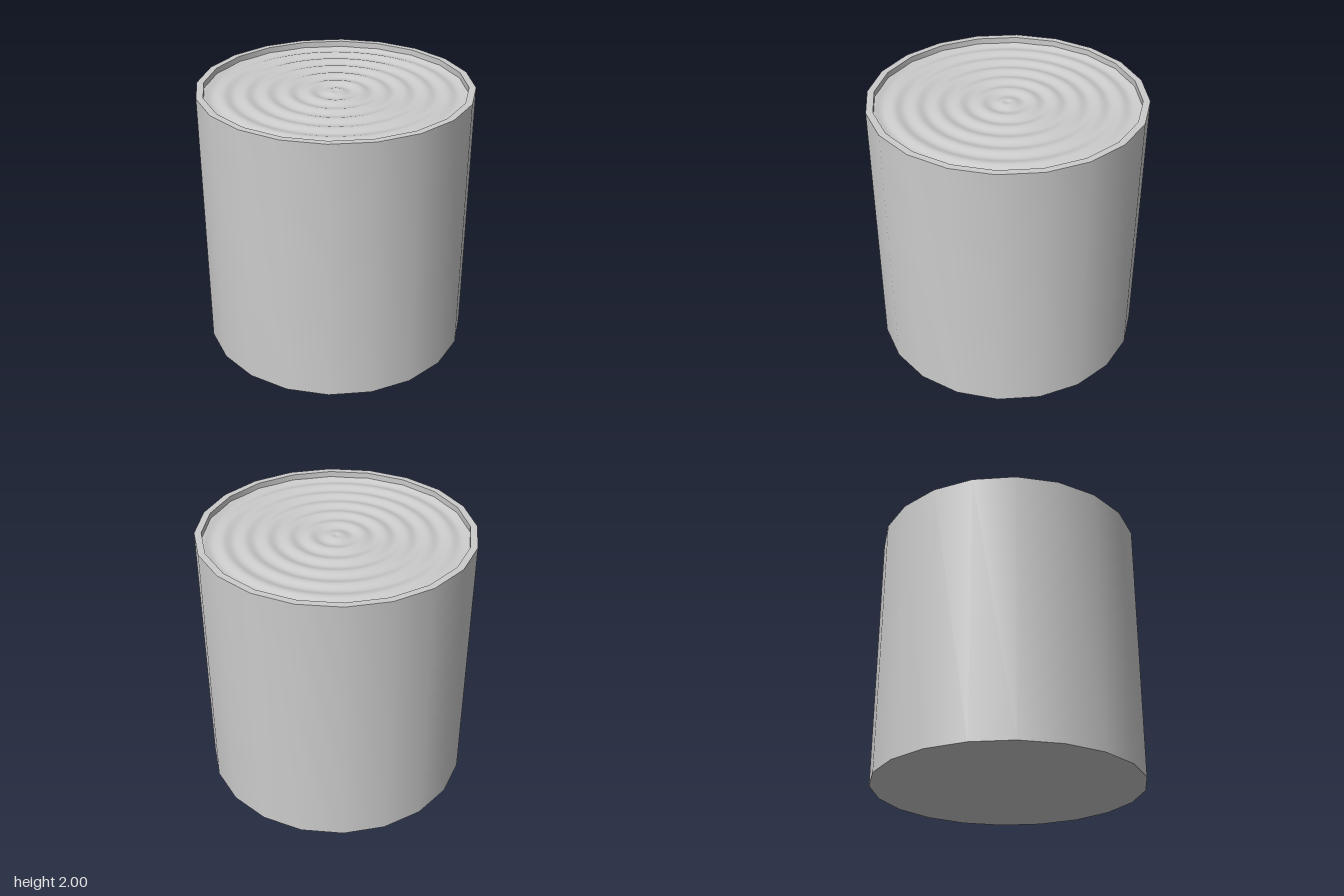
import * as THREE from 'three';
import { toCreasedNormals } from 'three/addons/utils/BufferGeometryUtils.js';

const SIDES = 20;
const OUTER = 1, INNER = 0.95, HEIGHT = 2, FLOOR = 0.05;
const LEVEL = 1.95, RIPPLE = 0.008, WAVELENGTH = 0.153;

export function createModel() {
  const group = new THREE.Group();
  const material = new THREE.MeshStandardMaterial({ color: 0xcccccc });
  const add = (name, geometry) => {
    const mesh = new THREE.Mesh(geometry, material);
    mesh.name = name;
    group.add(mesh);
  };

  // Container: one closed profile, outside up, over the rim and down inside
  const profile = [
    [0, 0], [OUTER, 0], [OUTER, HEIGHT], [INNER, HEIGHT], [INNER, FLOOR], [0, FLOOR],
  ].map(([r, y]) => new THREE.Vector2(r, y));
  add('container', toCreasedNormals(new THREE.LatheGeometry(profile, SIDES), Math.PI / 5));

  // Liquid: concentric ripples, its round edge buried in the wall
  const waves = [];
  const rings = 96;
  for (let i = rings; i >= 0; i--) {
    const r = (INNER * i) / rings;
    waves.push(new THREE.Vector2(r, LEVEL + RIPPLE * Math.sin((2 * Math.PI * r) / WAVELENGTH)));
  }
  add('rippledLiquid', new THREE.LatheGeometry(waves, SIDES * 5));

  return group;
}
